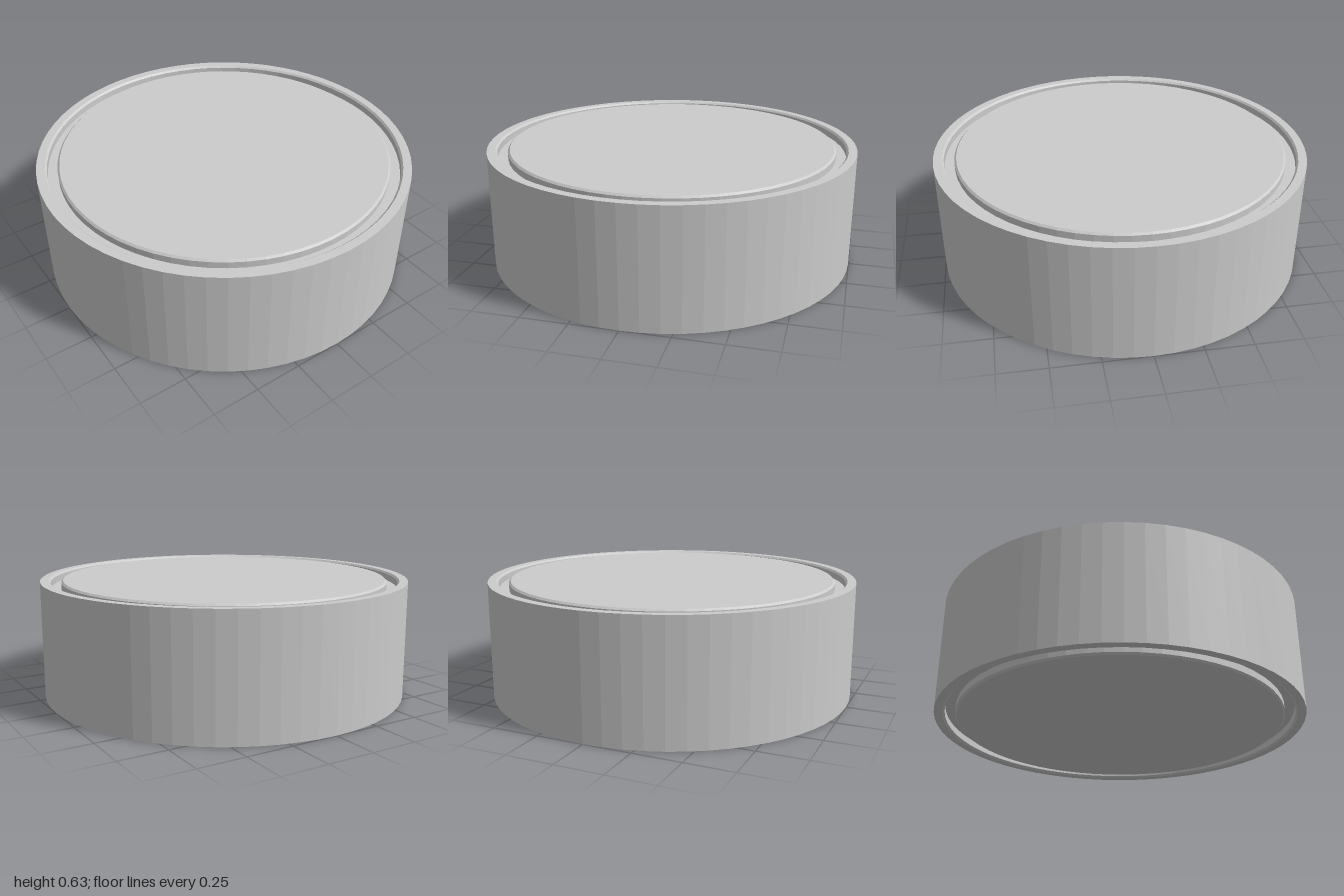
import * as THREE from 'three';

const SEGMENTS = 64;
const HEIGHT = 0.63;
const GROOVE = 0.045; // depth of the ring groove
const BEVEL = 0.01;   // softened groove lips

// Half profile of the upper end, from the centre outwards
const END = [
  [0, HEIGHT],
  [0.89 - BEVEL, HEIGHT],
  [0.89, HEIGHT - BEVEL],
  [0.89, HEIGHT - GROOVE],
  [0.945, HEIGHT - GROOVE],
  [0.945, HEIGHT - BEVEL],
  [0.945 + BEVEL, HEIGHT],
  [1, HEIGHT],
];

function lathe(name, points, material) {
  const profile = points.map(([r, y]) => new THREE.Vector2(r, y));
  const mesh = new THREE.Mesh(new THREE.LatheGeometry(profile, SEGMENTS), material);
  mesh.name = name;
  return mesh;
}

export function createModel() {
  const group = new THREE.Group();
  group.name = 'can';
  const material = new THREE.MeshStandardMaterial({ color: 0xcccccc, flatShading: true });

  // Lathe profiles run upwards on the outside so that faces point outwards
  const bottom = END.map(([r, y]) => [r, HEIGHT - y]);
  group.add(lathe('base', bottom, material));
  group.add(lathe('sideWall', [[1, 0], [1, HEIGHT]], material));
  group.add(lathe('lid', [...END].reverse(), material));
  return group;
}
